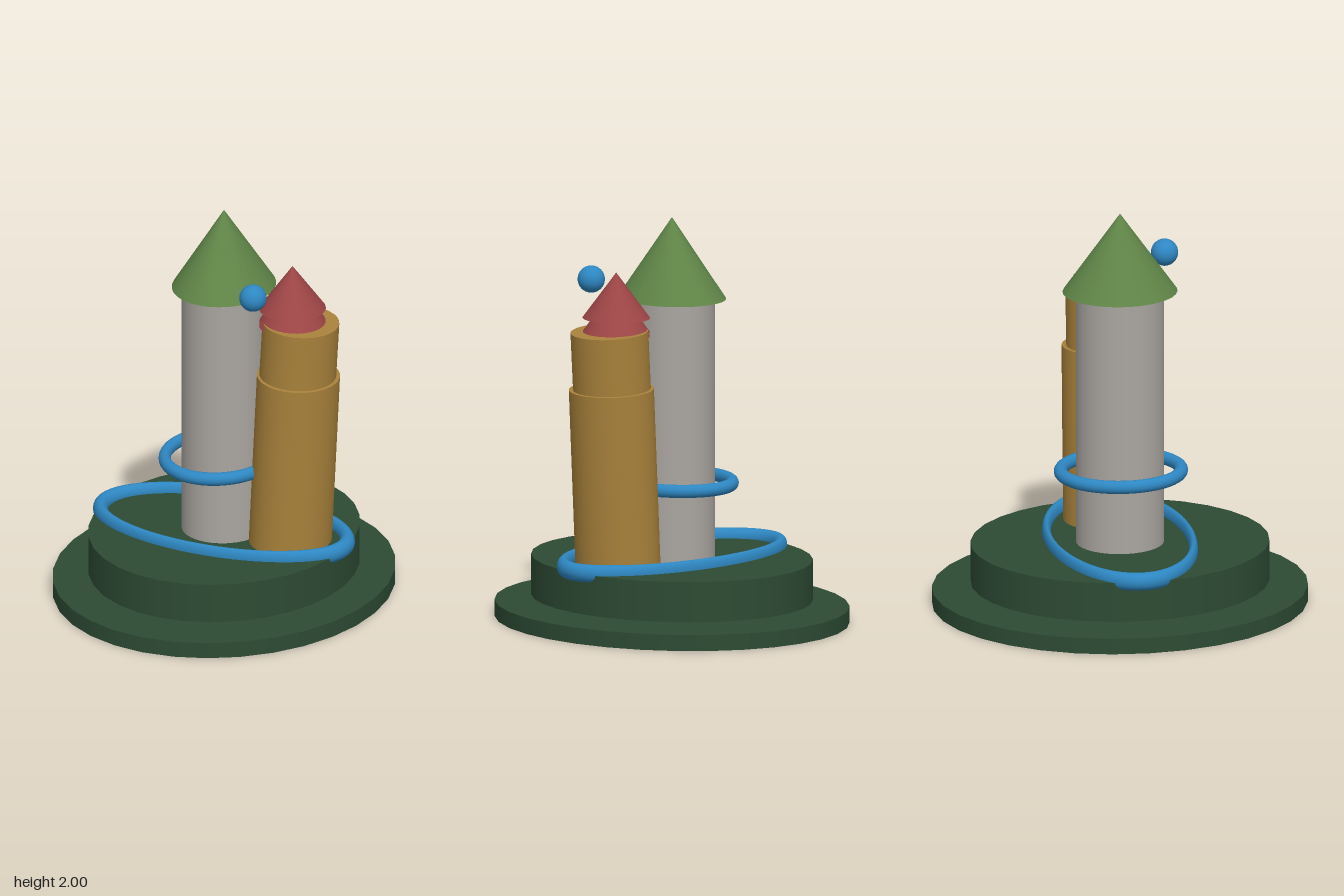
import * as THREE from 'three';

const mat = (name, color) => {
  const m = new THREE.MeshStandardMaterial({ color });
  m.name = name;
  return m;
};

export function createModel() {
  const root = new THREE.Group();
  root.name = 'twoTowerCastle';
  const darkGreen = mat('darkGreen', 0x2d4b34);
  const roofGreen = mat('roofGreen', 0x5f8447);
  const stone = mat('stone', 0xaaa6a1);
  const gold = mat('gold', 0xa9823b);
  const red = mat('red', 0x9c4445);
  const blue = mat('blue', 0x2e87c2);

  const add = (name, geometry, material, x, y, z = 0) => {
    const mesh = new THREE.Mesh(geometry, material);
    mesh.name = name;
    mesh.position.set(x, y, z);
    root.add(mesh);
    return mesh;
  };
  // Oval cylinder or cone between two heights; top = 0 makes a cone
  const oval = (name, material, x, y0, y1, rx, rz, top = 1) => {
    const mesh = add(name, new THREE.CylinderGeometry(top, 1, y1 - y0, 32), material, x, (y0 + y1) / 2);
    mesh.scale.set(rx, 1, rz);
    return mesh;
  };
  // Flat-lying oval ring, with its tube stretched along with it
  const ring = (name, x, y, rx, rz, tube, ry) => {
    const geometry = new THREE.TorusGeometry(1, tube, 16, 64).rotateX(Math.PI / 2);
    add(name, geometry, blue, x, y).scale.set(rx, ry / tube, rz);
  };

  // Two separated base discs
  oval('lowerBase', darkGreen, 0, 0, 0.08, 0.82, 0.925);
  oval('upperBase', darkGreen, 0, 0.11, 0.31, 0.65, 0.735);

  // Tall stone tower with pointed roof
  oval('stoneTower', stone, 0, 0.3, 1.61, 0.206, 0.217);
  oval('stoneTowerRoof', roofGreen, 0, 1.6, 2, 0.25, 0.283, 0);

  // Leaning golden tower in two stages
  const lean = -0.05;
  oval('goldTowerLower', gold, 0.382, 0.3, 1.195, 0.201, 0.217).rotation.z = lean;
  oval('goldTowerUpper', gold, 0.409, 1.19, 1.482, 0.187, 0.195).rotation.z = lean - 0.01;

  // Stacked red roof tiers
  for (const y of [1.455, 1.475, 1.545]) {
    oval('redRoofTier', red, 0.372, y, y + 0.225, 0.162, 0.17, 0);
  }

  // Blue rings and floating ball
  ring('towerRing', -0.025, 0.682, 0.261, 0.297, 0.111, 0.033);
  ring('groundRing', 0, 0.315, 0.65, 0.348, 0.06, 0.045);
  add('floatingBall', new THREE.SphereGeometry(0.067, 32, 20), blue, 0.287, 1.69, 0.272);

  return root;
}
